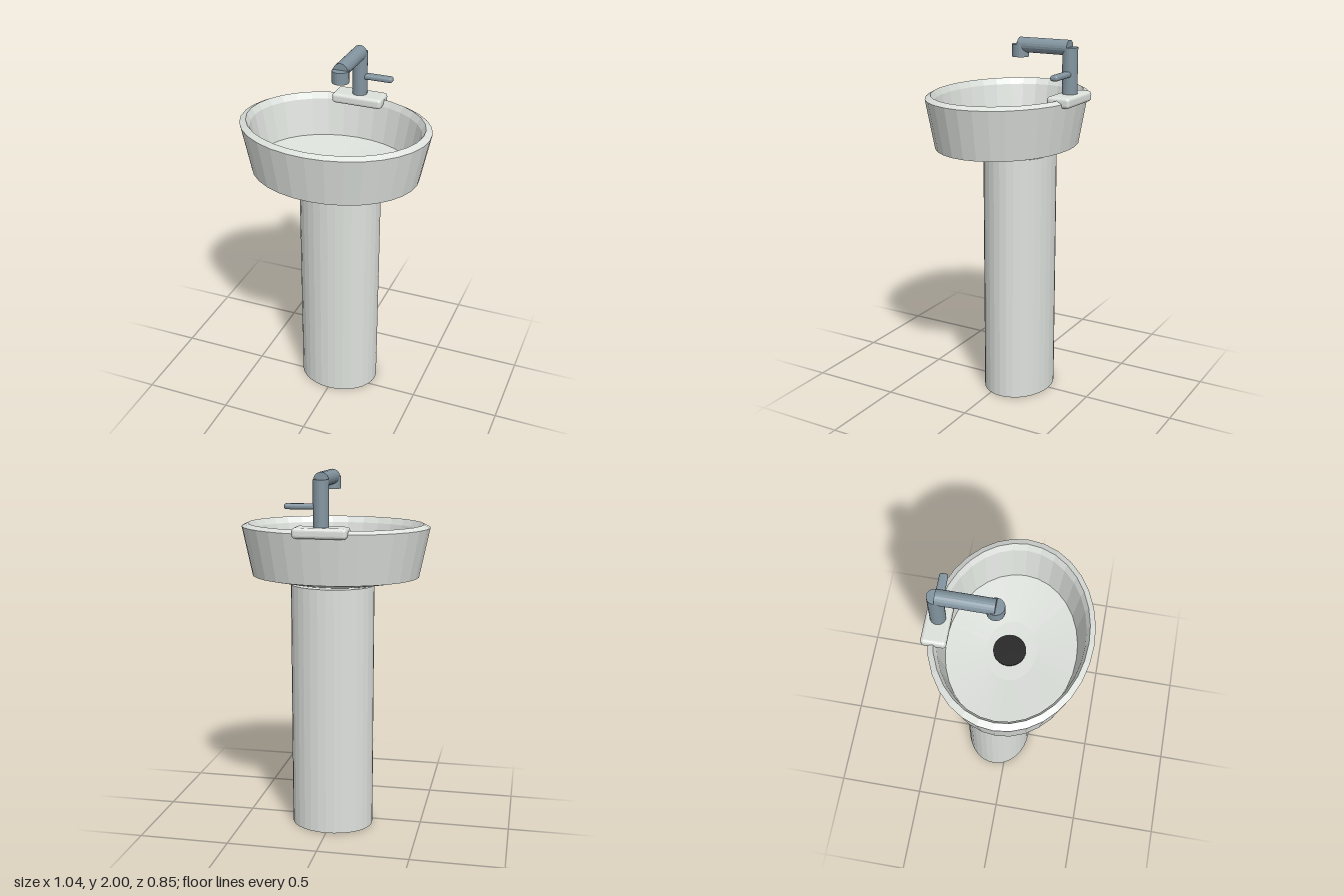
import * as THREE from 'three';
import { RoundedBoxGeometry } from 'three/addons/geometries/RoundedBoxGeometry.js';

export function createModel() {
  const group = new THREE.Group();
  const material = (name, color, flatShading = false) => {
    const m = new THREE.MeshStandardMaterial({ color, flatShading });
    m.name = name;
    return m;
  };
  const ceramic = material('ceramic', 0xdde1dc, true);
  const metal = material('brushed metal', 0x82949f, true);
  const black = material('drain black', 0x222222);

  const add = (name, geometry, mat, x, y, z) => {
    const mesh = new THREE.Mesh(geometry, mat);
    mesh.name = name;
    mesh.position.set(x, y, z);
    group.add(mesh);
    return mesh;
  };

  // Oval pedestal
  add('pedestal', new THREE.CylinderGeometry(0.23, 0.23, 1.38, 32), ceramic, 0, 0.69, -0.067)
    .scale.z = 0.83;

  // Oval basin: underside, outer wall, bevelled rim, inner wall, sloping floor
  const profile = [
    [0, 1.362], [0.17, 1.362], [0.463, 1.418], [0.52, 1.688], [0.485, 1.705],
    [0.465, 1.67], [0.425, 1.465], [0.165, 1.435], [0, 1.43],
  ].map(([r, y]) => new THREE.Vector2(r, y));
  add('basin', new THREE.LatheGeometry(profile, 32), ceramic, 0, 0, 0.01).scale.z = 0.798;

  // Drain plate
  add('drain', new THREE.CylinderGeometry(0.086, 0.086, 0.009, 32), black, 0, 1.435, 0);

  // Tap ledge on the back of the rim
  add('tapLedge', new RoundedBoxGeometry(0.287, 0.056, 0.13, 3, 0.018), ceramic, 0, 1.694, -0.36);

  // Tap: upright, horizontal arm, outlet and side lever
  add('tapUpright', new THREE.CylinderGeometry(0.041, 0.041, 0.25, 20), metal, 0, 1.838, -0.36);
  add('tapArm', new THREE.CylinderGeometry(0.04, 0.04, 0.292, 20), metal, 0, 1.96, -0.211)
    .rotation.x = Math.PI / 2;
  add('tapOutlet', new THREE.CylinderGeometry(0.046, 0.046, 0.066, 20), metal, 0, 1.93, -0.067);
  add('tapLever', new RoundedBoxGeometry(0.17, 0.03, 0.045, 3, 0.013), metal, 0.105, 1.826, -0.36);

  return group;
}
